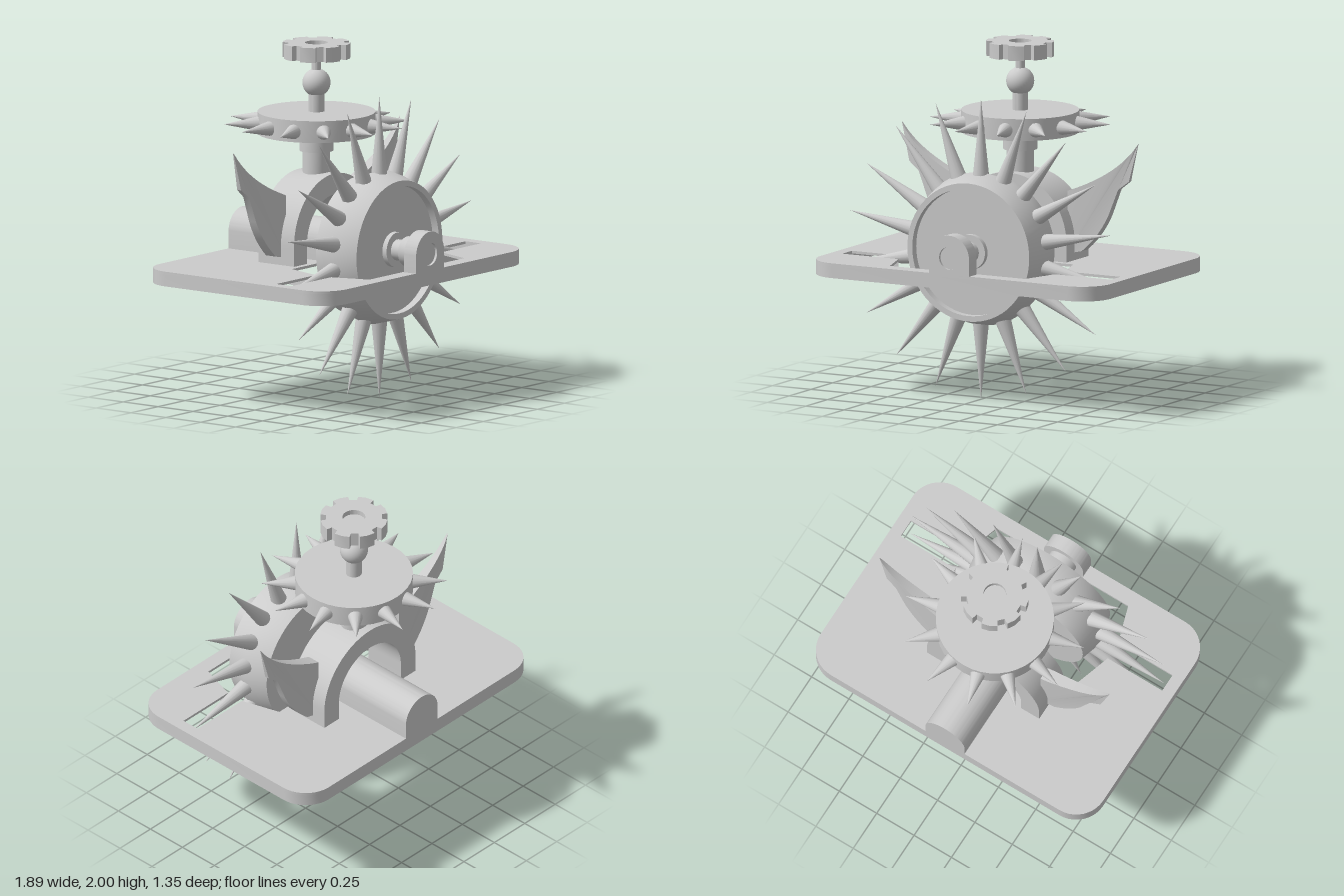
import * as THREE from 'three';
import { toCreasedNormals } from 'three/addons/utils/BufferGeometryUtils.js';

const material = new THREE.MeshStandardMaterial({ color: 0xcccccc });
const AXLE_Y = 0.87, DRUM_Z = 0.31, POST_Z = -0.14, PLATE_TOP = 0.775;

export function createModel() {
  const model = new THREE.Group();

  const add = (name, geometry, x = 0, y = 0, z = 0, parent = model) => {
    const mesh = new THREE.Mesh(toCreasedNormals(geometry, 0.6), material);
    mesh.name = name;
    mesh.position.set(x, y, z);
    parent.add(mesh);
    return mesh;
  };
  const polygon = (points, Type = THREE.Shape) =>
    new Type(points.map(([x, y]) => new THREE.Vector2(x, y)));
  const extrude = (shape, depth, curveSegments = 24) =>
    new THREE.ExtrudeGeometry(shape, { depth, bevelEnabled: false, curveSegments });
  const lathe = (points, segments = 48) =>
    new THREE.LatheGeometry(points.map(([r, y]) => new THREE.Vector2(r, y)), segments);
  // Cylinder along z between two depths
  const rod = (name, radius, z0, z1) =>
    add(name, new THREE.CylinderGeometry(radius, radius, z1 - z0, 32).rotateX(Math.PI / 2),
      0, AXLE_Y, (z0 + z1) / 2);
  // Upright cylinder on the rear post
  const post = (name, radius, y0, y1) =>
    add(name, new THREE.CylinderGeometry(radius, radius, y1 - y0, 40), 0, (y0 + y1) / 2, POST_Z);
  // Ring of cones in the xy plane
  const spikeRing = (name, count, start, inner, tip, radius) => {
    const ring = new THREE.Group();
    ring.name = name;
    for (let i = 0; i < count; i++) {
      const a = start + (i * 2 * Math.PI) / count;
      const cone = new THREE.ConeGeometry(radius, tip - inner, 14);
      const spike = add('spike', cone, Math.cos(a) * (inner + tip) / 2,
        Math.sin(a) * (inner + tip) / 2, 0, ring);
      spike.rotation.z = a - Math.PI / 2;
    }
    model.add(ring);
    return ring;
  };

  // Base plate: thin sheet with walls hanging from its edge and its opening
  const wall = 0.015;
  const outline = (inset, Type = THREE.Shape) => {
    const r = 0.18 - inset, cx = 0.765, cz = 0.49;
    const path = new Type();
    [[cx, cz], [-cx, cz], [-cx, -cz], [cx, -cz]].forEach(([x, y], i) =>
      path.absarc(x, y, r, i * Math.PI / 2, (i + 1) * Math.PI / 2));
    path.closePath();
    return path;
  };
  const opening = (grow, Type = THREE.Path) => {
    const half = [[0.44, -0.025 + grow], [0.51, -0.25 + grow], [0.875, -0.25 + grow],
      [0.875, -0.36 - grow], [0.51, -0.36 - grow], [0.44, -0.58 - grow]]
      .map(([x, y]) => [x + grow, y]);
    return polygon([...half, ...half.map(([x, y]) => [-x, y]).reverse()], Type);
  };
  const slab = (name, shape, y0, y1) =>
    add(name, extrude(shape, y1 - y0, 5).rotateX(-Math.PI / 2), 0, y0, 0);
  const sheet = outline(0);
  sheet.holes.push(opening(0));
  for (const s of [-1, 1]) {
    sheet.holes.push(polygon([[s * 0.255, 0.01], [s * 0.375, 0.01],
      [s * 0.375, 0.265], [s * 0.255, 0.265]], THREE.Path));
  }
  slab('plateTop', sheet, 0.76, PLATE_TOP);
  const rim = outline(0);
  rim.holes.push(outline(wall, THREE.Path));
  slab('plateRim', rim, 0.69, 0.76);
  const openingRim = opening(wall, THREE.Shape);
  openingRim.holes.push(opening(0));
  slab('openingRim', openingRim, 0.69, 0.76);

  // Round-topped bearing blocks
  const block = () => {
    const shape = new THREE.Shape();
    shape.moveTo(-0.13, PLATE_TOP);
    shape.lineTo(0.13, PLATE_TOP);
    shape.absarc(0, AXLE_Y, 0.13, 0, Math.PI);
    shape.closePath();
    return shape;
  };
  const front = block();
  front.holes.push(new THREE.Path().absarc(0, AXLE_Y, 0.065, 0, Math.PI * 2, true));
  add('frontBearing', extrude(front, 0.085), 0, 0, 0.59);
  add('rearBearing', extrude(block(), 0.7), 0, 0, -0.67);

  // Axle
  rod('axleEnd', 0.065, 0.57, 0.66);
  rod('axleCollar', 0.085, 0.51, 0.595);
  rod('frontAxle', 0.06, 0.4, 0.52);
  rod('drumHub', 0.1, 0.38, 0.44);
  rod('rearAxle', 0.075, 0.02, 0.2);

  // Double-tapered drum, recessed at the front and flat at the back
  add('drum', lathe([[0, -0.145], [0.397, -0.145], [0.438, 0], [0.397, 0.145],
    [0.365, 0.145], [0.365, 0.1], [0, 0.1]], 64).rotateX(Math.PI / 2), 0, AXLE_Y, DRUM_Z);
  spikeRing('drumSpikes', 18, Math.PI / 2, 0.39, 0.865, 0.05).position.set(0, AXLE_Y, DRUM_Z);

  // Arch over the rear bearing, open at the feet
  const archY = 0.885, archOuter = 0.375, archInner = 0.255;
  const arch = new THREE.Shape();
  arch.moveTo(archInner, PLATE_TOP);
  arch.lineTo(archOuter, PLATE_TOP);
  arch.absarc(0, archY, archOuter, 0, Math.PI);
  arch.lineTo(-archOuter, PLATE_TOP);
  arch.lineTo(-archInner, PLATE_TOP);
  arch.absarc(0, archY, archInner, Math.PI, 0, true);
  arch.closePath();
  const solid = extrude(arch, 0.255).attributes.position.array;
  const kept = [];
  for (let i = 0; i < solid.length; i += 9) {
    const top = Math.max(solid[i + 1], solid[i + 4], solid[i + 7]);
    if (top > PLATE_TOP + 0.001) kept.push(...solid.slice(i, i + 9));
  }
  const openArch = new THREE.BufferGeometry();
  openArch.setAttribute('position', new THREE.Float32BufferAttribute(kept, 3));
  add('arch', openArch, 0, 0, -0.265);

  // Swept side blades, thinning to the tip
  for (const [name, turn] of [['leftBlade', 0], ['rightBlade', Math.PI]]) {
    const blade = new THREE.Shape();
    blade.moveTo(0.33, 0.81);
    blade.lineTo(0.42, 0.83);
    blade.quadraticCurveTo(0.53, 0.92, 0.59, 1.05);
    blade.lineTo(0.65, 1.2);
    blade.lineTo(0.715, 1.25);
    blade.lineTo(0.77, 1.47);
    blade.quadraticCurveTo(0.66, 1.29, 0.33, 1.17);
    const geometry = extrude(blade, 0.076).translate(0, 0, -0.038);
    const p = geometry.attributes.position;
    for (let i = 0; i < p.count; i++) {
      const taper = Math.sqrt(Math.max(0.002, (0.77 - p.getX(i)) / 0.4));
      p.setZ(i, p.getZ(i) * Math.min(1, taper));
    }
    add(name, geometry, 0, 0, POST_Z).rotation.y = turn;
  }

  // Rear post and spiked disc
  post('postFoot', 0.078, 1.2, 1.39);
  post('postCollar', 0.097, 1.38, 1.48);
  post('disc', 0.335, 1.48, 1.605);
  const ring = spikeRing('discSpikes', 12, Math.PI / 12, 0.32, 0.53, 0.045);
  ring.rotation.x = Math.PI / 2;
  ring.position.set(0, 1.54, POST_Z);
  post('neck', 0.045, 1.6, 1.72);
  add('ball', new THREE.SphereGeometry(0.08, 32, 20), 0, 1.77, POST_Z);
  post('stem', 0.027, 1.83, 1.93);

  // Toothed hand knob with a shallow well
  const teeth = [];
  for (let i = 0; i < 8; i++) {
    for (const [offset, radius] of [[-0.26, 0.16], [-0.24, 0.192], [0, 0.194], [0.24, 0.192], [0.26, 0.16]]) {
      const a = (i + 0.5) * Math.PI / 4 + offset;
      teeth.push([Math.cos(a) * radius, Math.sin(a) * radius]);
    }
  }
  const knob = polygon(teeth);
  knob.holes.push(new THREE.Path().absarc(0, 0, 0.065, 0, Math.PI * 2, true));
  add('knob', extrude(knob, 0.085).rotateX(-Math.PI / 2), 0, 1.915, POST_Z);
  post('knobWell', 0.066, 1.915, 1.97);

  return model;
}
